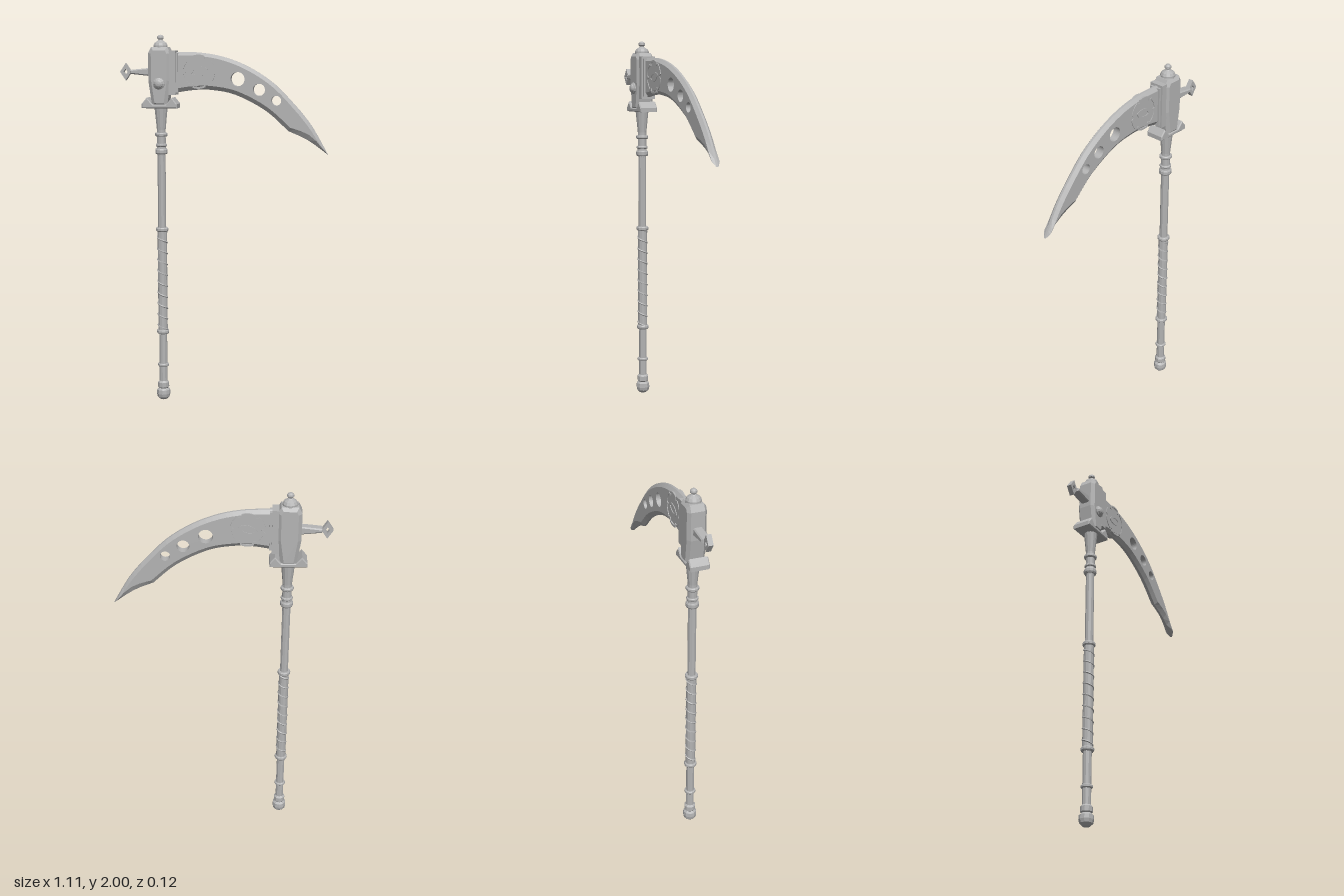
import * as THREE from 'three';

const PX = -0.337, CZ = -0.011; // pole axis
const V2 = (p) => new THREE.Vector2(p[0], p[1]);

export function createModel() {
  const root = new THREE.Group();
  root.name = 'scythe';
  const metal = new THREE.MeshStandardMaterial({ color: 0xb4b4b4, flatShading: true, side: THREE.DoubleSide });
  metal.name = 'grey metal';

  const add = (name, geo, x = 0, y = 0, z = 0) => {
    const m = new THREE.Mesh(geo, metal);
    m.name = name;
    m.position.set(x, y, z);
    root.add(m);
    return m;
  };
  const lathe = (name, pts, sides = 12) => add(name, new THREE.LatheGeometry(pts.map(V2), sides), PX, 0, CZ);
  // Plate centred on the pole's z, with an optional inward bevel
  const plate = (name, shape, depth, bevel = 0, bevelZ = bevel) => {
    const g = new THREE.ExtrudeGeometry(shape, {
      depth: depth - 2 * bevelZ, bevelEnabled: bevel > 0, bevelSize: bevel,
      bevelThickness: bevelZ, bevelOffset: -bevel, bevelSegments: 1, curveSegments: 16,
    });
    return add(name, g, 0, 0, CZ - depth / 2 + bevelZ);
  };
  const poly = (pts) => new THREE.Shape(pts.map(V2));
  // Outline symmetric about the pole axis, from its right half
  const mirrored = (half) => poly([...half.map(([x, y]) => [PX + x, y]),
    ...half.slice().reverse().map(([x, y]) => [PX - x, y])]);

  // Pole with pommel and flared neck
  lathe('pommel', [[0, 0], [0.02, 0.004], [0.034, 0.018], [0.038, 0.036], [0.036, 0.058], [0.026, 0.068],
    [0.031, 0.074], [0.031, 0.1], [0.021, 0.11], [0, 0.11]], 10);
  lathe('pole', [[0.022, 0.1], [0.022, 1.4]], 10);
  lathe('grip', [[0.022, 0.39], [0.026, 0.4], [0.026, 0.95], [0.022, 0.96]]);
  lathe('neck', [[0.021, 1.36], [0.026, 1.39], [0.024, 1.43], [0.024, 1.5],
    [0.03, 1.56], [0.036, 1.62], [0, 1.62]]);
  for (const [y, r, h] of [[0.2, 0.03, 0.018], [0.39, 0.034, 0.022], [0.96, 0.034, 0.022],
    [1.385, 0.034, 0.03], [1.418, 0.031, 0.016], [1.475, 0.034, 0.02]]) {
    lathe('poleRing', [[0.018, y - h / 2], [r - 0.004, y - h / 2], [r, y - h / 4], [r, y + h / 4],
      [r - 0.004, y + h / 2], [0.018, y + h / 2]]);
  }

  // Spiral cord around the grip
  const helix = [];
  for (let i = 0; i <= 108; i++) {
    const a = (i / 12) * Math.PI * 2;
    helix.push(new THREE.Vector3(Math.cos(a) * 0.025, 0.4 + (0.55 * i) / 108, Math.sin(a) * 0.025));
  }
  add('gripCord', new THREE.TubeGeometry(new THREE.CatmullRomCurve3(helix), 216, 0.005, 5), PX, 0, CZ);

  // Guard with upturned ends, and the head block
  plate('guard', mirrored([[0.095, 1.616], [0.095, 1.639], [0.068, 1.672], [0.036, 1.637]]), 0.102, 0.005);
  plate('head', mirrored([[0.04, 1.625], [0.06, 1.76], [0.06, 1.905], [0.043, 1.937]]), 0.1, 0.018, 0.015);
  lathe('finial', [[0.039, 1.93], [0.039, 1.945], [0.032, 1.958], [0.016, 1.968], [0.011, 1.974],
    [0.018, 1.981], [0.017, 1.991], [0.009, 1.999], [0, 2]]);

  // Front stud
  const stud = add('stud', new THREE.LatheGeometry([[0.031, 0], [0.031, 0.008], [0.024, 0.013], [0.021, 0.018],
    [0.013, 0.023], [0, 0.025]].map(V2), 12), PX, 1.745, 0.037);
  stud.rotation.x = Math.PI / 2;

  // Rear spike ending in a pierced diamond
  const SY = 1.806;
  plate('spike', poly([[-0.385, SY - 0.022], [-0.385, SY + 0.022], [-0.455, SY + 0.015], [-0.5, SY + 0.01],
    [-0.5, SY - 0.01], [-0.455, SY - 0.015]]), 0.048, 0.006);
  const diamond = (rx, ry) => [[-0.525 + rx, SY], [-0.525, SY + ry], [-0.525 - rx, SY], [-0.525, SY - ry]];
  const tipShape = poly(diamond(0.03, 0.045));
  tipShape.holes.push(new THREE.Path(diamond(0.011, 0.017).reverse().map(V2)));
  plate('spikeDiamond', tipShape, 0.026);

  // Blade socket
  const box = (name, x, y, w, h, d) => add(name, new THREE.BoxGeometry(w, h, d), x, y, CZ);
  box('bladeSocket', -0.269, 1.803, 0.036, 0.232, 0.08);
  box('socketLip', -0.246, 1.803, 0.014, 0.205, 0.062);

  // Blade: paired points along back and cutting edge
  const curve = (pts, n) => new THREE.SplineCurve(pts.map(V2)).getPoints(n);
  const back = [...curve([[-0.25, 1.911], [-0.12, 1.907], [0.012, 1.882], [0.145, 1.828], [0.277, 1.74], [0.405, 1.608]], 20),
    ...curve([[0.405, 1.608], [0.473, 1.52], [0.553, 1.38]], 6).slice(1)];
  const edge = [...curve([[-0.25, 1.698], [-0.155, 1.712], [-0.065, 1.713], [0.065, 1.688], [0.225, 1.606], [0.345, 1.5]], 20),
    ...curve([[0.345, 1.5], [0.445, 1.456], [0.553, 1.38]], 6).slice(1)];
  const last = back.length - 1;
  const inBack = [], inEdge = [];
  for (let i = 0; i < last; i++) {
    const len = back[i].distanceTo(edge[i]);
    const share = Math.min(0.4, 0.022 / len) + Math.max(0, i - 20) * 0.03;
    inBack.push(back[i].clone().lerp(edge[i], Math.min(0.35, 0.018 / len)));
    inEdge.push(edge[i].clone().lerp(back[i], Math.min(0.5, share)));
  }
  const outer = [...back.slice(0, last), back[last], ...edge.slice(0, last).reverse()];
  const inner = [...inBack, inBack[last - 1].clone().lerp(back[last], 0.3), ...inEdge.slice().reverse()];

  const core = new THREE.Shape(inner.slice().reverse());
  for (const [x, y, r] of [[0.077, 1.77, 0.037], [0.19, 1.715, 0.032], [0.281, 1.659, 0.026]]) {
    core.holes.push(new THREE.Path().absarc(x, y, r, 0, Math.PI * 2, true));
  }
  plate('bladeCore', core, 0.044);

  // Bevels running round the blade
  const rings = [[inner, 0.022], [outer, 0.006], [outer, -0.006], [inner, -0.022]];
  const pos = [];
  for (let k = 0; k < 3; k++) {
    for (let i = 0; i < outer.length; i++) {
      const j = (i + 1) % outer.length;
      const at = (r, n) => [rings[r][0][n].x, rings[r][0][n].y, rings[r][1]];
      const [a, b, c, d] = [at(k, i), at(k, j), at(k + 1, j), at(k + 1, i)];
      pos.push(...a, ...b, ...c, ...a, ...c, ...d);
    }
  }
  const bevel = new THREE.BufferGeometry();
  bevel.setAttribute('position', new THREE.Float32BufferAttribute(pos, 3));
  bevel.computeVertexNormals();
  add('bladeBevel', bevel, 0, 0, CZ);

  // Notched ring around a lens outline, raised on both faces
  const EX = -0.131, EY = 1.808;
  const gear = (r, notch) => {
    const pts = [];
    for (let i = 0; i < 72; i++) {
      const a = (i / 72) * Math.PI * 2;
      const rad = i % 12 < 2 ? r - notch : r;
      pts.push([EX + Math.cos(a) * rad, EY + Math.sin(a) * rad]);
    }
    return pts;
  };
  const lens = (w, h) => {
    const pts = [], t = 0.25;
    for (let i = 0; i < 24; i++) {
      const a = (i / 24) * Math.PI * 2;
      const x = Math.cos(a) * w, y = Math.sin(a) * Math.abs(Math.sin(a)) ** 0.4 * h;
      pts.push([EX + x * Math.cos(t) - y * Math.sin(t), EY + x * Math.sin(t) + y * Math.cos(t)]);
    }
    return pts;
  };
  const outline = (name, outside, inside) => {
    const shape = poly(outside);
    shape.holes.push(new THREE.Path(inside.reverse().map(V2)));
    plate(name, shape, 0.051);
  };
  outline('emblemRing', gear(0.089, 0.012), gear(0.079, 0.012));
  outline('emblemLens', lens(0.05, 0.025), lens(0.036, 0.015));

  return root;
}
